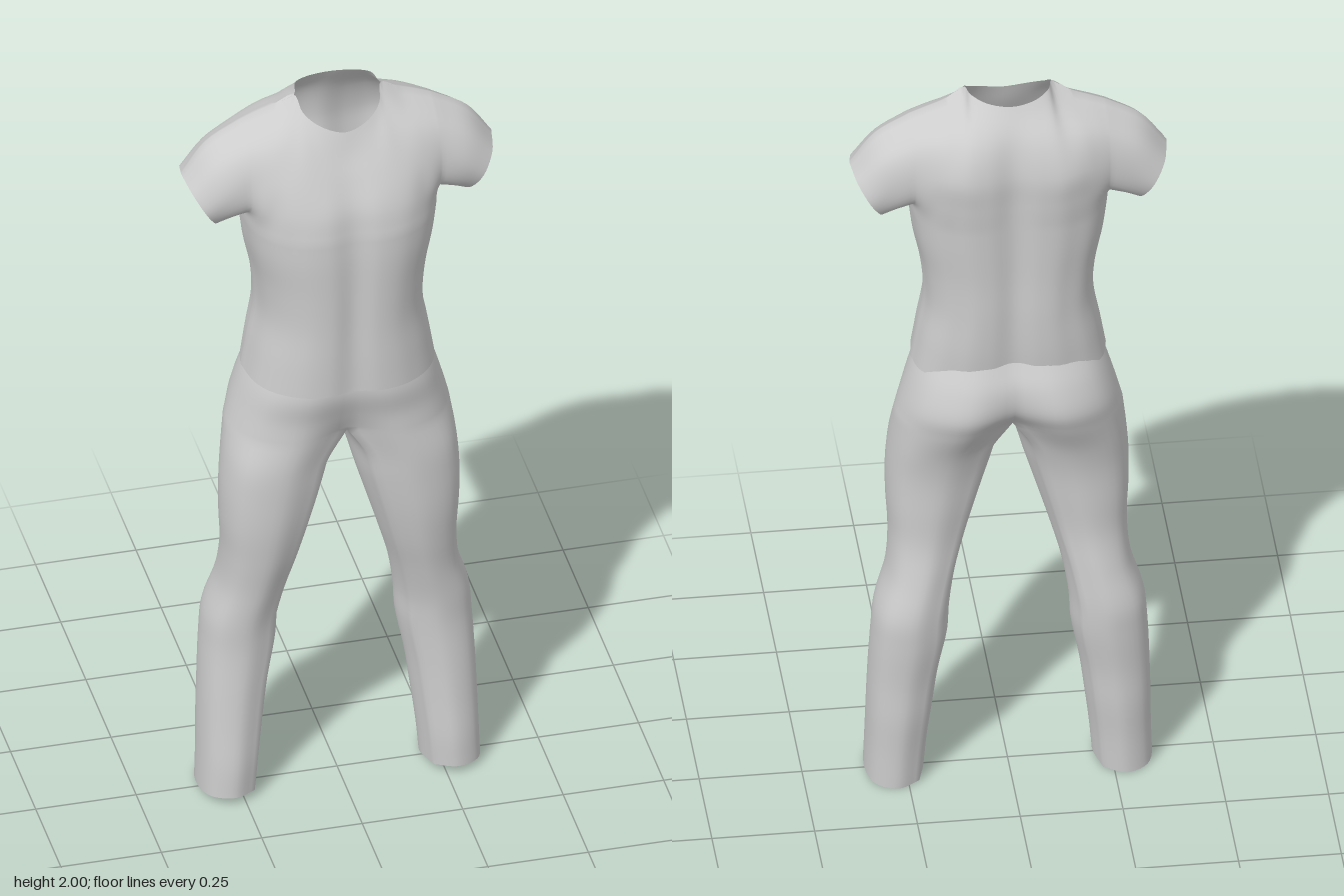
import * as THREE from 'three';
import { mergeGeometries, mergeVertices } from 'three/addons/utils/BufferGeometryUtils.js';

const STEPS = 5; // subdivisions between control points

const spline = (pts) => {
  const curve = new THREE.CatmullRomCurve3(pts, false, 'centripetal');
  return curve.getPoints((pts.length - 1) * STEPS);
};

// Smooth sheet through a grid of control points (rows go up, columns go across)
function sheet(rows, flip = false) {
  const across = rows.map((r) => spline(r.map((p) => new THREE.Vector3(...p))));
  const cols = across[0].map((_, j) => spline(across.map((r) => r[j])));
  const n = cols[0].length;
  const pos = cols.flatMap((c) => c.flatMap((p) => [p.x, p.y, p.z]));
  const index = [];
  for (let j = 0; j < cols.length - 1; j++) {
    for (let i = 0; i < n - 1; i++) {
      const a = j * n + i, b = a + n, c = b + 1, d = a + 1;
      if (flip) index.push(a, c, b, a, d, c);
      else index.push(a, b, c, a, c, d);
    }
  }
  const g = new THREE.BufferGeometry();
  g.setAttribute('position', new THREE.Float32BufferAttribute(pos, 3));
  g.setIndex(index);
  return g;
}

const mirrorRows = (rows) => rows.map((r) => r.map(([x, y, z]) => [-x, y, z]));
const fullWidth = (rows) => rows.map((r) => [...r.slice(1).reverse().map(([x, y, z]) => [-x, y, z]), ...r]);
const bothSides = (rows, flip) => [sheet(rows, flip), sheet(mirrorRows(rows), !flip)];

// Weld the sheets of one garment so the shading runs over the seams
function garment(name, sheets, material) {
  const g = mergeVertices(mergeGeometries(sheets), 1e-4);
  g.computeVertexNormals();
  const mesh = new THREE.Mesh(g, material);
  mesh.name = name;
  return mesh;
}

// Chest and back from armpit level to neckline and shoulder, centre to armhole
const shoulder = [[0.108, 1.996, 0], [0.155, 1.97, -0.01], [0.2, 1.953, -0.012], [0.24, 1.937, -0.012]];
const armpit = [0.243, 1.68, -0.01];
const chest = [
  [[0, 1.67, 0.172], [0.06, 1.67, 0.183], [0.11, 1.67, 0.178], [0.15, 1.67, 0.162], [0.195, 1.67, 0.128], [0.228, 1.672, 0.075], armpit],
  [[0, 1.74, 0.162], [0.06, 1.74, 0.17], [0.11, 1.74, 0.165], [0.15, 1.745, 0.152], [0.185, 1.745, 0.132], [0.215, 1.74, 0.113], [0.238, 1.735, 0.085]],
  [[0, 1.81, 0.135], [0.06, 1.815, 0.138], [0.105, 1.82, 0.135], [0.145, 1.825, 0.126], [0.18, 1.825, 0.115], [0.21, 1.82, 0.105], [0.24, 1.815, 0.093]],
  [[0, 1.87, 0.107], [0.06, 1.88, 0.105], [0.1, 1.9, 0.093], [0.13, 1.91, 0.08], [0.17, 1.907, 0.074], [0.205, 1.898, 0.07], [0.24, 1.888, 0.064]],
  [[0, 1.925, 0.087], [0.06, 1.942, 0.072], [0.095, 1.967, 0.041], ...shoulder],
];
const back = [
  [[0, 1.67, -0.145], [0.06, 1.67, -0.158], [0.11, 1.67, -0.158], [0.15, 1.67, -0.145], [0.195, 1.67, -0.122], [0.228, 1.672, -0.08], armpit],
  [[0, 1.74, -0.148], [0.06, 1.74, -0.163], [0.11, 1.74, -0.165], [0.15, 1.745, -0.155], [0.185, 1.745, -0.14], [0.215, 1.74, -0.122], [0.238, 1.735, -0.1]],
  [[0, 1.82, -0.15], [0.06, 1.82, -0.164], [0.11, 1.82, -0.168], [0.145, 1.825, -0.16], [0.18, 1.825, -0.145], [0.21, 1.82, -0.13], [0.24, 1.815, -0.115]],
  [[0, 1.91, -0.13], [0.06, 1.91, -0.138], [0.1, 1.915, -0.133], [0.13, 1.917, -0.12], [0.17, 1.912, -0.112], [0.205, 1.903, -0.102], [0.24, 1.89, -0.092]],
  [[0, 1.987, -0.087], [0.06, 1.992, -0.072], [0.095, 2.0, -0.041], ...shoulder],
];

// Waist levels: height, half width, front depth, back depth
const waist = [
  [1.218, 0.238, 0.18, 0.138], [1.3, 0.224, 0.181, 0.146], [1.4, 0.207, 0.181, 0.15],
  [1.5, 0.213, 0.183, 0.151], [1.6, 0.233, 0.185, 0.155],
];
const waistRows = (top, side) => [
  ...waist.map(([y, w, f, b]) => top.map(([x, , z], i) =>
    [x * w / 0.243, y, i === 6 ? -0.01 : z * (side > 0 ? f / 0.183 : b / 0.158)])),
  top,
];

// Sleeve stations after the armhole: [x, y, front z, back z] from underarm to top
const sleeveMid = [[0.275, 1.68, -0.01, -0.01], [0.282, 1.712, 0.072, -0.09], [0.297, 1.778, 0.09, -0.106],
  [0.314, 1.845, 0.06, -0.084], [0.325, 1.886, -0.012, -0.012]];
const sleeveCuff = [[0.303, 1.665, -0.01, -0.01], [0.316, 1.688, 0.055, -0.077], [0.345, 1.735, 0.08, -0.1],
  [0.373, 1.782, 0.053, -0.075], [0.386, 1.803, -0.01, -0.01]];
const sleeveRows = (panel, k) => panel.map((r, i) =>
  [r[6], ...[sleeveMid, sleeveCuff].map((s) => [s[i][0], s[i][1], s[i][k]])]);

function makeShirt(material) {
  return garment('shirt', [
    sheet(fullWidth(chest)), sheet(fullWidth(back), true),
    sheet(fullWidth(waistRows(chest[0], 1))), sheet(fullWidth(waistRows(back[0], -1)), true),
    ...bothSides(sleeveRows(chest, 2), false), ...bothSides(sleeveRows(back, 3), true),
  ], material);
}

// Leg levels: height, inner x, outer x, back z, front z
const legLevels = [
  [0.01, 0.205, 0.35, -0.1, 0.1], [0.1, 0.197, 0.347, -0.105, 0.1], [0.2, 0.185, 0.345, -0.113, 0.092],
  [0.3, 0.172, 0.342, -0.116, 0.085], [0.42, 0.15, 0.336, -0.127, 0.08], [0.5, 0.145, 0.328, -0.13, 0.085],
  [0.6, 0.128, 0.298, -0.116, 0.1], [0.7, 0.1, 0.29, -0.102, 0.12], [0.8, 0.07, 0.295, -0.104, 0.135],
  [0.9, 0.04, 0.295, -0.11, 0.142], [0.98, 0.018, 0.288, -0.128, 0.145],
];
// Hip levels: height, half width, back z, front z, centre back z, centre front z
const hipLevels = [
  [1.06, 0.278, -0.163, 0.145, -0.1, 0.1], [1.12, 0.262, -0.183, 0.147, -0.15, 0.127],
  [1.19, 0.241, -0.17, 0.158, -0.157, 0.15], [1.26, 0.215, -0.138, 0.152, -0.13, 0.15],
];

// Eight points round a leg, starting at the inseam and passing the front
const legRing = ([y, xi, xo, zb, zf]) => Array.from({ length: 8 }, (_, k) => {
  const a = k * Math.PI / 4, s = k % 2 ? 1.05 : 1;
  const z = (zf + zb) / 2 + (zf - zb) / 2 * Math.sin(a) * s;
  return [(xi + xo) / 2 - (xo - xi) / 2 * Math.cos(a) * s, y < 0.05 ? y + z * 0.1 : y, z];
});
// Half hip section from centre front round the side to centre back
const hipRow = ([y, w, zb, zf, cb, cf]) => [
  [0, y, cf], [w * 0.45, y, zf], [w * 0.83, y, zf * 0.7], [w, y, -0.01],
  [w * 0.85, y, zb * 0.7], [w * 0.45, y, zb], [0, y, cb],
];

function makeTrousers(material) {
  const rings = legLevels.map(legRing);
  const hips = hipLevels.map(hipRow);
  const outer = [...rings.map((r) => r.slice(1)), hips[0]];
  const inner = [...rings.map((r) => [r[7], r[0], r[1]]), [hips[0][6], [0, 1.03, -0.01], hips[0][0]]];
  return garment('trousers', [
    ...bothSides(outer, false), ...bothSides(inner, false), ...bothSides(hips, false),
  ], material);
}

export function createModel() {
  const cloth = new THREE.MeshStandardMaterial({ color: 0xcccccc, side: THREE.DoubleSide });
  cloth.name = 'light grey cloth';
  const group = new THREE.Group();
  group.name = 'outfit';
  group.add(makeShirt(cloth), makeTrousers(cloth));
  return group;
}
